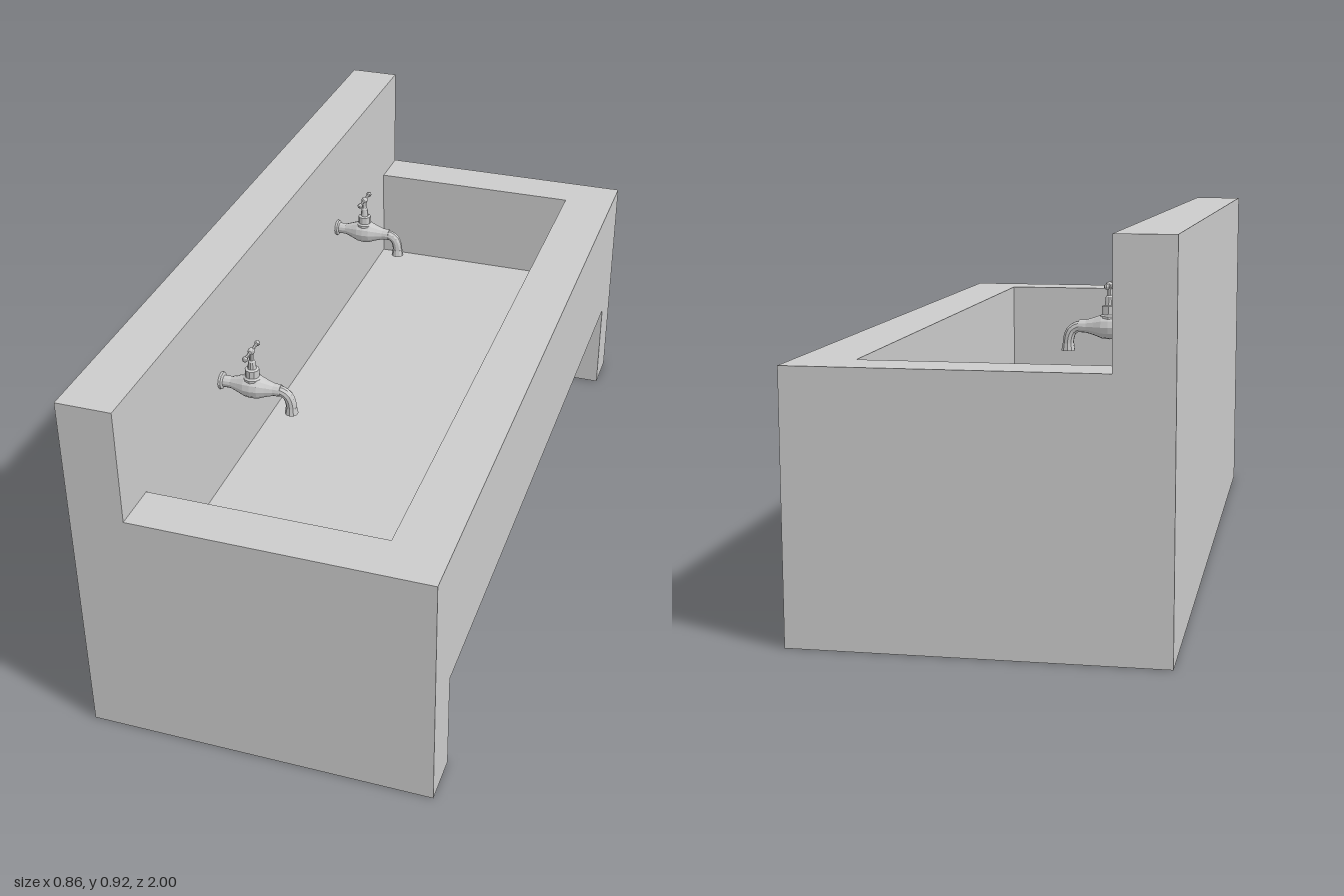
import * as THREE from 'three';

const stone = new THREE.MeshStandardMaterial({ color: 0xcccccc });
const metal = new THREE.MeshStandardMaterial({ color: 0xcccccc, flatShading: true });
const TAP_Y = 0.662;

const toVectors = (points) => points.map(([x, y]) => new THREE.Vector2(x, y));

function addMesh(parent, name, geometry, material, x = 0, y = 0, z = 0) {
  const mesh = new THREE.Mesh(geometry, material);
  mesh.name = name;
  mesh.position.set(x, y, z);
  parent.add(mesh);
  return mesh;
}

// Side profile in x/y pushed along z
function slab(parent, name, points, zStart, depth) {
  const geometry = new THREE.ExtrudeGeometry(new THREE.Shape(toVectors(points)), { depth, bevelEnabled: false });
  return addMesh(parent, name, geometry, stone, 0, 0, zStart);
}

function createTap() {
  const tap = new THREE.Group();

  // Wall flange, neck and bulging body turned about the x axis
  const body = new THREE.LatheGeometry(toVectors([
    [0, -0.296], [0.022, -0.296], [0.022, -0.289], [0.015, -0.286], [0.015, -0.266],
    [0.022, -0.246], [0.029, -0.228], [0.031, -0.21], [0.029, -0.192],
    [0.022, -0.174], [0.016, -0.154], [0.015, -0.136], [0, -0.136],
  ]), 12);
  body.rotateZ(-Math.PI / 2);
  addMesh(tap, 'tapBody', body, metal, 0, TAP_Y, 0);

  // Spout bending down over the basin
  const bend = new THREE.CatmullRomCurve3([
    [-0.16, 0.662], [-0.138, 0.662], [-0.119, 0.652], [-0.111, 0.632], [-0.11, 0.606],
  ].map(([x, y]) => new THREE.Vector3(x, y, 0)));
  addMesh(tap, 'spout', new THREE.TubeGeometry(bend, 10, 0.0135, 10), metal);
  addMesh(tap, 'spoutCollar', new THREE.CylinderGeometry(0.014, 0.017, 0.018, 10), metal, -0.11, 0.611, 0);

  // Bonnet and valve stem
  const stem = new THREE.LatheGeometry(toVectors([
    [0, 0.67], [0.023, 0.67], [0.023, 0.688], [0.018, 0.692], [0.018, 0.712],
    [0.011, 0.714], [0.009, 0.734], [0.006, 0.738], [0.006, 0.76], [0, 0.76],
  ]), 10);
  addMesh(tap, 'bonnetAndStem', stem, metal, -0.21, 0, 0);

  // T handle with rounded ends
  addMesh(tap, 'handleHub', new THREE.SphereGeometry(0.009, 10, 8), metal, -0.21, 0.762, 0);
  const bar = addMesh(tap, 'handleBar', new THREE.CylinderGeometry(0.004, 0.004, 0.08, 8), metal, -0.21, 0.762, 0);
  bar.rotation.x = Math.PI / 2;
  for (const side of [-1, 1]) {
    addMesh(tap, 'handleKnob', new THREE.SphereGeometry(0.0075, 8, 6), metal, -0.21, 0.762, side * 0.04);
  }
  return tap;
}

export function createModel() {
  const model = new THREE.Group();
  model.name = 'washTrough';

  // Middle run: back wall, basin floor and front wall, open underneath
  slab(model, 'basin', [
    [-0.43, 0], [-0.295, 0], [-0.295, 0.265], [0.43, 0.265], [0.43, 0.63],
    [0.29, 0.63], [0.29, 0.367], [-0.295, 0.367], [-0.295, 0.92], [-0.43, 0.92],
  ], -0.88, 1.76);

  // Solid end walls reaching the ground
  for (const z of [-1, 0.88]) {
    slab(model, 'endWall', [
      [-0.43, 0], [0.43, 0], [0.43, 0.63], [-0.295, 0.63], [-0.295, 0.92], [-0.43, 0.92],
    ], z, 0.12);
  }

  // Pair of taps on the back wall
  for (const side of [-1, 1]) {
    const tap = createTap();
    tap.name = side > 0 ? 'leftTap' : 'rightTap';
    tap.position.z = side * 0.437;
    model.add(tap);
  }
  return model;
}
